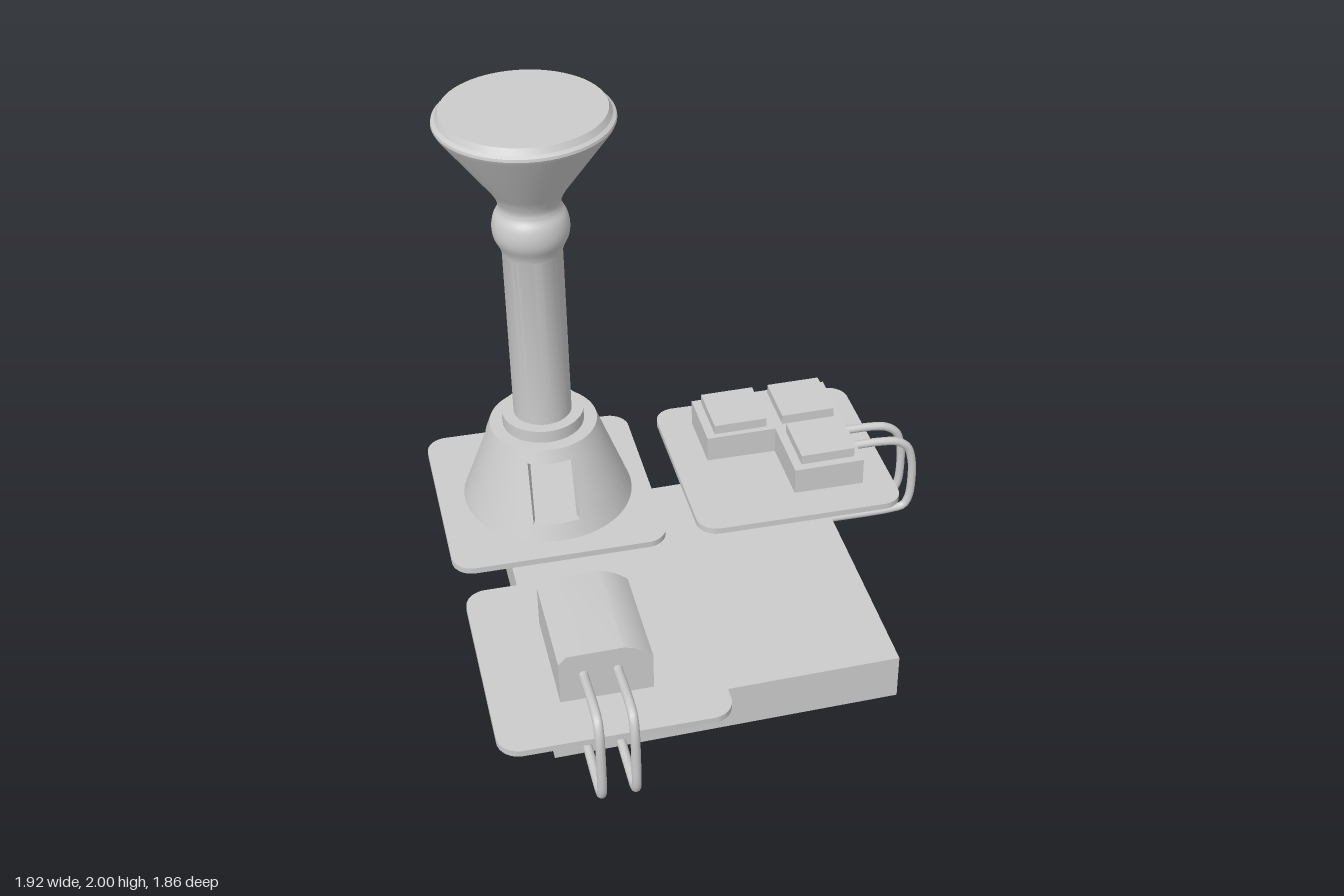
import * as THREE from 'three';
import { toCreasedNormals } from 'three/addons/utils/BufferGeometryUtils.js';

const grey = new THREE.MeshStandardMaterial({ color: 0xcccccc });
const V2 = (x, y) => new THREE.Vector2(x, y);

function add(parent, name, geometry, x = 0, y = 0, z = 0) {
  const mesh = new THREE.Mesh(geometry, grey);
  mesh.name = name;
  mesh.position.set(x, y, z);
  parent.add(mesh);
  return mesh;
}

// Box given by its limits
function block(parent, name, x0, x1, y0, y1, z0, z1) {
  return add(parent, name, new THREE.BoxGeometry(x1 - x0, y1 - y0, z1 - z0),
    (x0 + x1) / 2, (y0 + y1) / 2, (z0 + z1) / 2);
}

function lathe(points) {
  return toCreasedNormals(new THREE.LatheGeometry(points.map(p => V2(...p)), 64), 0.45);
}

// Thin square plate with rounded corners, slightly tilted
function plate(parent, name, x, top, z, tiltX, tiltZ) {
  const h = 0.41, r = 0.08, t = 0.025, s = new THREE.Shape();
  s.absarc(h - r, h - r, r, 0, Math.PI / 2);
  s.absarc(r - h, h - r, r, Math.PI / 2, Math.PI);
  s.absarc(r - h, r - h, r, Math.PI, Math.PI * 1.5);
  s.absarc(h - r, r - h, r, Math.PI * 1.5, Math.PI * 2);
  const g = new THREE.ExtrudeGeometry(s, { depth: t, bevelEnabled: false, curveSegments: 8 });
  g.rotateX(-Math.PI / 2);
  const m = add(parent, name, toCreasedNormals(g, 0.5), x, top - t, z);
  m.rotation.set(tiltX, 0, tiltZ);
}

function cable(parent, name, points) {
  const curve = new THREE.CatmullRomCurve3(points.map(p => new THREE.Vector3(...p)), false, 'centripetal');
  add(parent, name, new THREE.TubeGeometry(curve, 56, 0.017, 12));
}

// Conical tower foot: hollow wall with three windows
const FOOT = { y0: 0.34, y1: 0.685, win0: 0.41, win1: 0.635, wall: 0.03, half: 0.088 };
const footRadius = y => 0.33 - (y - FOOT.y0) / (FOOT.y1 - FOOT.y0) * 0.125;

function footRing(a, b) {
  const ra = footRadius(a), rb = footRadius(b), w = FOOT.wall;
  return lathe([[ra, a], [rb, b], [rb - w, b], [ra - w, a], [ra, a]]);
}

// Wall between two windows: a box bent onto the cone
function footPost(start) {
  const g = new THREE.BoxGeometry(1, 1, 1, 14, 4, 1), p = g.attributes.position;
  for (let i = 0; i < p.count; i++) {
    const y = FOOT.win0 + (p.getY(i) + 0.5) * (FOOT.win1 - FOOT.win0);
    const outer = footRadius(y), margin = Math.asin(FOOT.half / outer);
    const span = Math.PI * 2 / 3 - 2 * margin;
    const a = start + margin + (p.getX(i) + 0.5) * span;
    const r = outer + (p.getZ(i) - 0.5) * FOOT.wall;
    p.setXYZ(i, r * Math.sin(a), y, r * Math.cos(a));
  }
  g.computeVertexNormals();
  return g;
}

function buildTower() {
  const tower = new THREE.Group();
  tower.name = 'tower';
  tower.position.set(-0.537, 0, -0.505);
  add(tower, 'footLowerRing', footRing(FOOT.y0, FOOT.win0));
  add(tower, 'footUpperRing', footRing(FOOT.win1, FOOT.y1));
  for (let i = 0; i < 3; i++) add(tower, 'footPost', footPost(-0.052 + i * Math.PI * 2 / 3));
  add(tower, 'footCap', new THREE.CylinderGeometry(0.2, 0.2, 0.01, 64), 0, 0.68, 0);
  add(tower, 'collar', new THREE.CylinderGeometry(0.155, 0.155, 0.05, 64), 0, 0.71, 0);
  // Shaft, bulge and flared head in one turned profile
  const bulge = new THREE.SplineCurve([[0.11, 1.44], [0.118, 1.465], [0.136, 1.505], [0.14, 1.545],
    [0.132, 1.585], [0.116, 1.615], [0.113, 1.64], [0.123, 1.67]].map(p => V2(...p)));
  const profile = [[0, 0.73], [0.11, 0.73], ...bulge.getPoints(24).map(p => [p.x, p.y]),
    [0.14, 1.7], [0.313, 1.945], [0.32, 1.96], [0.318, 1.97], [0.305, 1.978], [0.293, 2.0], [0, 2.0]];
  add(tower, 'shaftAndHead', lathe(profile));
  return tower;
}

export function createModel() {
  const model = new THREE.Group();
  model.name = 'towerOnPlates';

  block(model, 'base', -0.73, 0.55, 0, 0.185, -0.6, 0.59);
  plate(model, 'towerPlate', -0.553, 0.35, -0.503, 0.012, -0.016);
  plate(model, 'buttonPlate', 0.393, 0.323, -0.52, -0.012, -0.018);
  plate(model, 'housingPlate', -0.538, 0.323, 0.428, 0.016, -0.016);
  model.add(buildTower());

  // L-shaped button block, extruded upwards
  const l = new THREE.Shape([V2(0.12, 0.81), V2(0.12, 0.545), V2(0.4, 0.545),
    V2(0.4, 0.26), V2(0.68, 0.26), V2(0.68, 0.81)]);
  const lGeo = new THREE.ExtrudeGeometry(l, { depth: 0.12, bevelEnabled: false });
  lGeo.rotateX(-Math.PI / 2);
  add(model, 'buttonBlock', lGeo, 0, 0.315, 0);
  for (const [x, z] of [[0.155, -0.79], [0.435, -0.79], [0.435, -0.515]])
    block(model, 'button', x, x + 0.215, 0.43, 0.475, z, z + 0.222);

  // Housing with one rounded shoulder
  const h = new THREE.Shape();
  h.moveTo(-0.705, 0.315);
  h.lineTo(-0.375, 0.315);
  h.lineTo(-0.375, 0.465);
  h.quadraticCurveTo(-0.425, 0.515, -0.48, 0.525);
  h.lineTo(-0.675, 0.525);
  h.lineTo(-0.705, 0.495);
  const hGeo = new THREE.ExtrudeGeometry(h, { depth: 0.41, bevelEnabled: false, curveSegments: 10 });
  add(model, 'housing', toCreasedNormals(hGeo, 0.4), 0, 0, 0.235);

  // Cables looping down into the base
  for (const x of [-0.62, -0.5])
    cable(model, 'frontCable', [[x, 0.435, 0.62], [x, 0.432, 0.66], [x, 0.44, 0.71], [x, 0.452, 0.84],
      [x, 0.44, 0.885], [x, 0.4, 0.906], [x, 0.25, 0.915], [x, 0.13, 0.908], [x, 0.1, 0.885],
      [x, 0.092, 0.83], [x, 0.092, 0.57]]);
  for (const [z, d] of [[-0.405, 0], [-0.51, -0.012]])
    cable(model, 'sideCable', [[0.66, 0.4, z], [0.8, 0.397, z], [0.87 + d, 0.385, z], [0.915 + d, 0.35, z],
      [0.937 + d, 0.28, z], [0.943 + d, 0.19, z], [0.935 + d, 0.09, z], [0.915 + d, 0.052, z],
      [0.86 + d, 0.042, z], [0.53, 0.045, z]]);

  return model;
}
